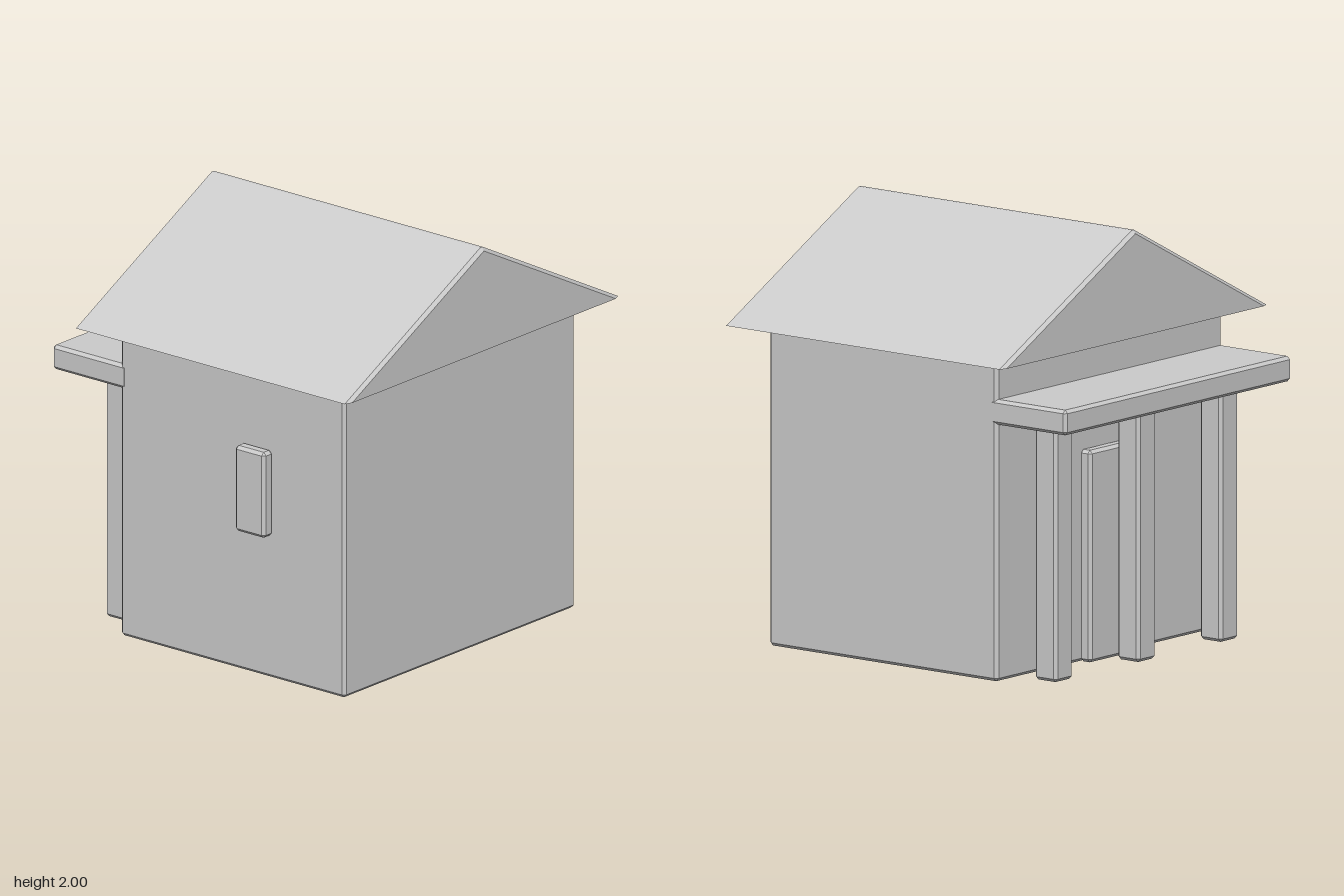
import * as THREE from 'three';
import { ConvexGeometry } from 'three/addons/geometries/ConvexGeometry.js';

const material = new THREE.MeshStandardMaterial({ color: 0xcccccc, flatShading: true });
const BEVEL = 0.015;

function addHull(group, name, points) {
  const mesh = new THREE.Mesh(new ConvexGeometry(points), material);
  mesh.name = name;
  group.add(mesh);
  return mesh;
}

// Box with every edge chamfered, given as [min, max] along each axis
function addBox(group, name, xs, ys, zs, b = BEVEL) {
  const points = [];
  for (const i of [0, 1]) for (const j of [0, 1]) for (const k of [0, 1]) {
    const corner = [xs[i], ys[j], zs[k]];
    const inward = [i, j, k].map((s) => (s ? -b : b));
    // three points per corner, each lying on one face
    for (let face = 0; face < 3; face++) {
      points.push(new THREE.Vector3(...corner.map((c, a) => (a === face ? c : c + inward[a]))));
    }
  }
  return addHull(group, name, points);
}

export function createModel() {
  const house = new THREE.Group();
  house.name = 'house';

  // Main walls
  addBox(house, 'walls', [-0.82, 0.82], [0, 1.505], [-0.54, 0.805]);

  // Gabled roof: full outline just inside each end, smaller gable at the end
  const [back, front] = [-0.692, 0.948];
  const roof = [];
  for (const [z, dir] of [[back, 1], [front, -1]]) {
    for (const s of [-1, 1]) {
      roof.push(new THREE.Vector3(s * 0.97, 1.5, z + dir * BEVEL));
      roof.push(new THREE.Vector3(s * 0.008, 2, z + dir * BEVEL));
      roof.push(new THREE.Vector3(s * 0.935, 1.5, z));
    }
    roof.push(new THREE.Vector3(0, 1.985, z));
  }
  addHull(house, 'roof', roof);

  // Porch at the back: canopy on three posts
  addBox(house, 'porchCanopy', [-0.822, 0.822], [1.2, 1.318], [-0.948, -0.5]);
  for (const x of [-0.6, 0, 0.6]) {
    addBox(house, 'porchPost', [x - 0.065, x + 0.065], [0, 1.202], [-0.763, -0.633]);
  }

  // Door behind the middle post
  addBox(house, 'door', [-0.21, 0.21], [0, 0.99], [-0.597, -0.53]);

  // Window panel on the right wall
  addBox(house, 'window', [-0.887, -0.82], [0.695, 1.11], [0.2, 0.38]);

  return house;
}
